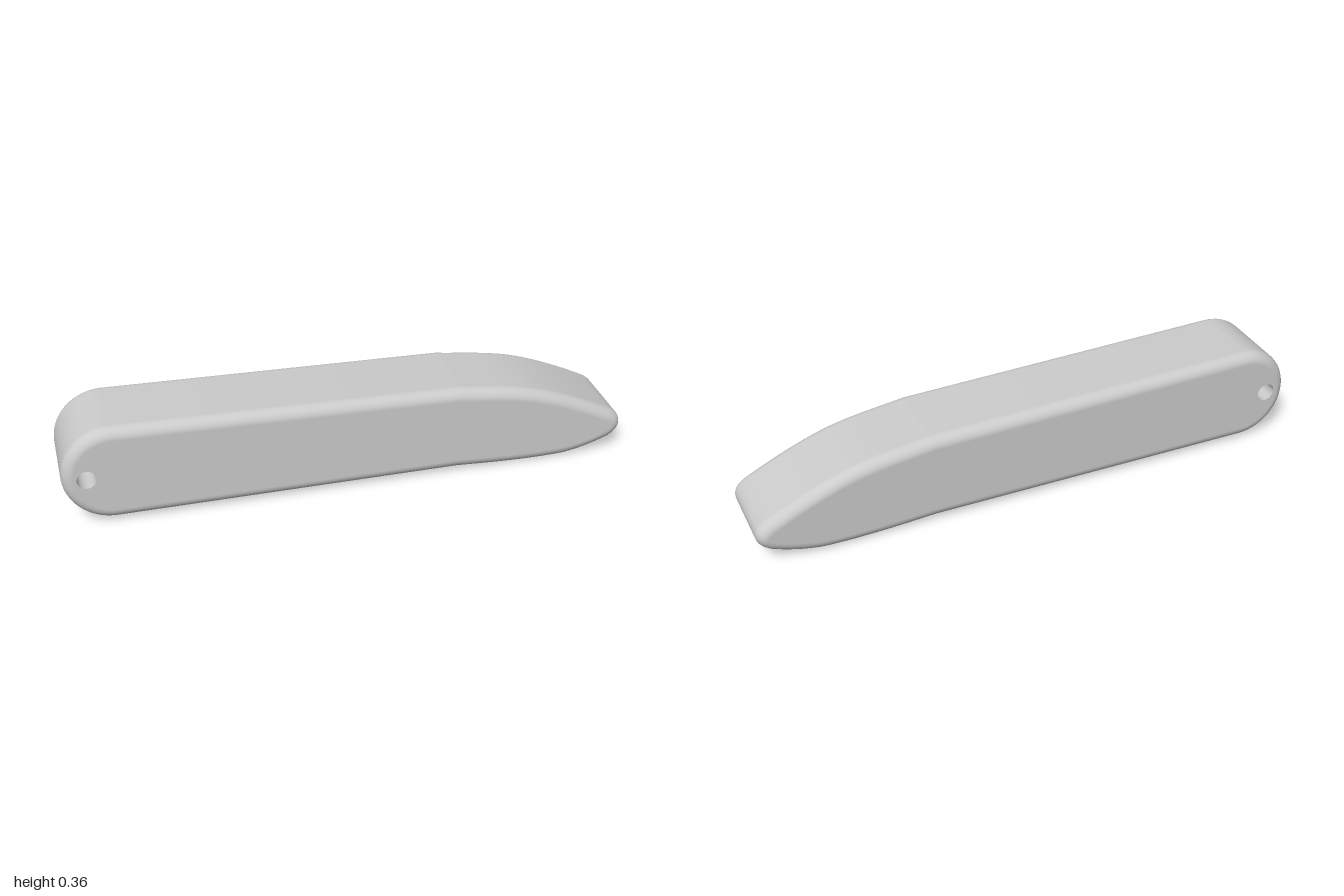
import * as THREE from 'three';

const HALF = 0.16;      // half thickness
const R = 0.04;         // edge rounding
const HOLE = { x: -0.917, y: 0.187, r: 0.033 };

// Side profile: round tail, long straight handle, drooping rounded nose
function profilePoints() {
  const s = new THREE.Shape();
  s.moveTo(-0.825, 0.364);
  s.absarc(-0.825, 0.189, 0.175, Math.PI / 2, Math.PI * 1.5, false);
  s.lineTo(0.38, 0.014);
  s.bezierCurveTo(0.53, 0.004, 0.66, -0.003, 0.78, 0.003);
  s.bezierCurveTo(0.85, 0.011, 0.91, 0.03, 0.955, 0.049);
  s.bezierCurveTo(0.985, 0.064, 1, 0.085, 1, 0.108);
  s.bezierCurveTo(1, 0.13, 0.985, 0.147, 0.96, 0.162);
  s.bezierCurveTo(0.87, 0.209, 0.75, 0.264, 0.65, 0.29);
  s.bezierCurveTo(0.56, 0.313, 0.47, 0.32, 0.38, 0.334);
  const pts = s.getPoints(20);
  return pts.filter((p, i) => p.distanceTo(pts[(i + 1) % pts.length]) > 1e-4);
}

// Outward normal at every profile point
function profileNormals(pts) {
  const n = pts.length;
  const edge = (a, b) => new THREE.Vector2(b.y - a.y, a.x - b.x).normalize();
  return pts.map((p, i) =>
    edge(pts[(i + n - 1) % n], p).add(edge(p, pts[(i + 1) % n])).normalize());
}

// Rim: sweeps the profile across the thickness with rounded edges
function rimGeometry(pts, normals) {
  const steps = 8, rings = [];
  for (const side of [1, -1]) {
    for (let i = 0; i <= steps; i++) {
      const k = side > 0 ? 1 - i / steps : i / steps;
      rings.push({ a: k * Math.PI / 2, side });
    }
  }
  const pos = [], nor = [], idx = [], n = pts.length;
  for (const { a, side } of rings) {
    const inset = R * (1 - Math.cos(a));
    pts.forEach((p, j) => {
      const m = normals[j];
      pos.push(p.x - m.x * inset, p.y - m.y * inset, side * (HALF - R + R * Math.sin(a)));
      nor.push(m.x * Math.cos(a), m.y * Math.cos(a), side * Math.sin(a));
    });
  }
  for (let i = 0; i < rings.length - 1; i++) {
    for (let j = 0; j < n; j++) {
      const a = i * n + j, b = i * n + (j + 1) % n;
      idx.push(a, a + n, b, b, a + n, b + n);
    }
  }
  const g = new THREE.BufferGeometry();
  g.setAttribute('position', new THREE.Float32BufferAttribute(pos, 3));
  g.setAttribute('normal', new THREE.Float32BufferAttribute(nor, 3));
  g.setIndex(idx);
  return g;
}

// Flat side face with the round hole
function faceGeometry(pts, normals, side) {
  const shape = new THREE.Shape(pts.map((p, i) => p.clone().addScaledVector(normals[i], -R)));
  shape.holes.push(new THREE.Path().absarc(HOLE.x, HOLE.y, HOLE.r, 0, Math.PI * 2, true));
  const g = new THREE.ShapeGeometry(shape, 16);
  g.translate(0, 0, side * HALF);
  if (side < 0) {
    g.setIndex(Array.from(g.index.array).reverse());
    const nor = g.attributes.normal;
    for (let i = 0; i < nor.count; i++) nor.setZ(i, -1);
  }
  return g;
}

export function createModel() {
  const group = new THREE.Group();
  group.name = 'handle';
  const material = new THREE.MeshStandardMaterial({ color: 0xcccccc });
  const add = (name, geometry, mat = material) => {
    const mesh = new THREE.Mesh(geometry, mat);
    mesh.name = name;
    group.add(mesh);
    return mesh;
  };

  const pts = profilePoints(), normals = profileNormals(pts);
  add('roundedRim', rimGeometry(pts, normals));
  add('frontFace', faceGeometry(pts, normals, 1));
  add('backFace', faceGeometry(pts, normals, -1));

  // Wall of the through hole
  const wall = new THREE.CylinderGeometry(HOLE.r, HOLE.r, 2 * HALF, 32, 1, true);
  wall.rotateX(Math.PI / 2);
  wall.translate(HOLE.x, HOLE.y, 0);
  add('holeWall', wall, new THREE.MeshStandardMaterial({ color: 0xcccccc, side: THREE.DoubleSide }));

  return group;
}
